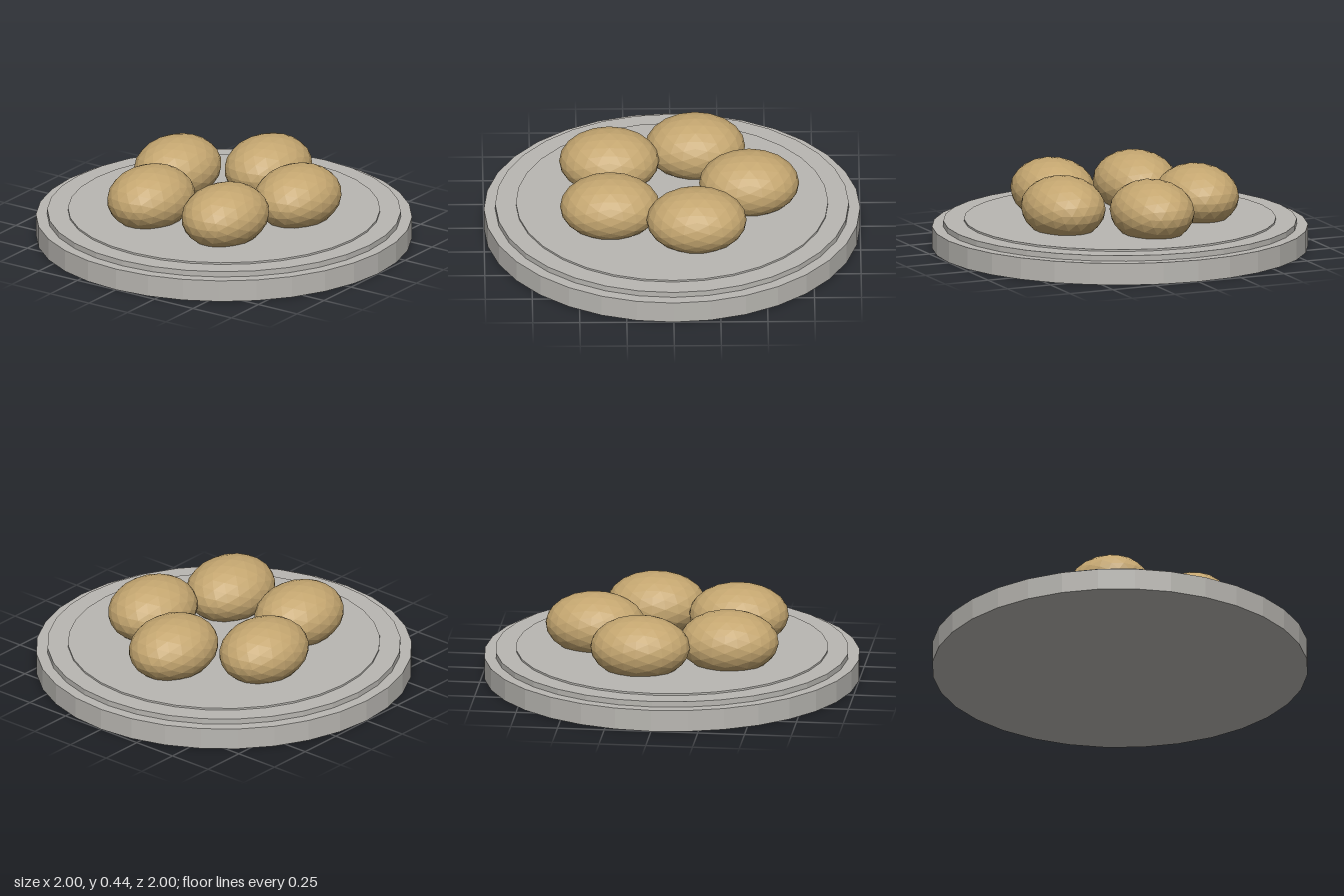
import * as THREE from 'three';

export function createModel() {
  const group = new THREE.Group();
  const stone = new THREE.MeshStandardMaterial({ name: 'warm grey', color: 0xb9b7b2, flatShading: true });
  const tan = new THREE.MeshStandardMaterial({ name: 'tan', color: 0xc4a670, flatShading: true });

  // Stepped round plate: radius, bottom, top of each tier
  const tiers = [
    ['plateBase', 1, 0, 0.117],
    ['plateStep', 0.94, 0.117, 0.147],
    ['plateCentre', 0.83, 0.147, 0.157],
  ];
  for (const [name, radius, bottom, top] of tiers) {
    const tier = new THREE.Mesh(new THREE.CylinderGeometry(radius, radius, top - bottom, 32), stone);
    tier.name = name;
    tier.position.y = (bottom + top) / 2;
    group.add(tier);
  }

  // Ring of five faceted ovals, partly sunk into the plate
  const oval = new THREE.IcosahedronGeometry(1, 3).scale(0.266, 0.168, 0.217);
  for (let i = 0; i < 5; i++) {
    const angle = (i / 5) * Math.PI * 2;
    const loaf = new THREE.Mesh(oval, tan);
    loaf.name = `loaf${i + 1}`;
    loaf.position.set(0.41 * Math.cos(angle), 0.272, 0.41 * Math.sin(angle));
    group.add(loaf);
  }
  return group;
}
